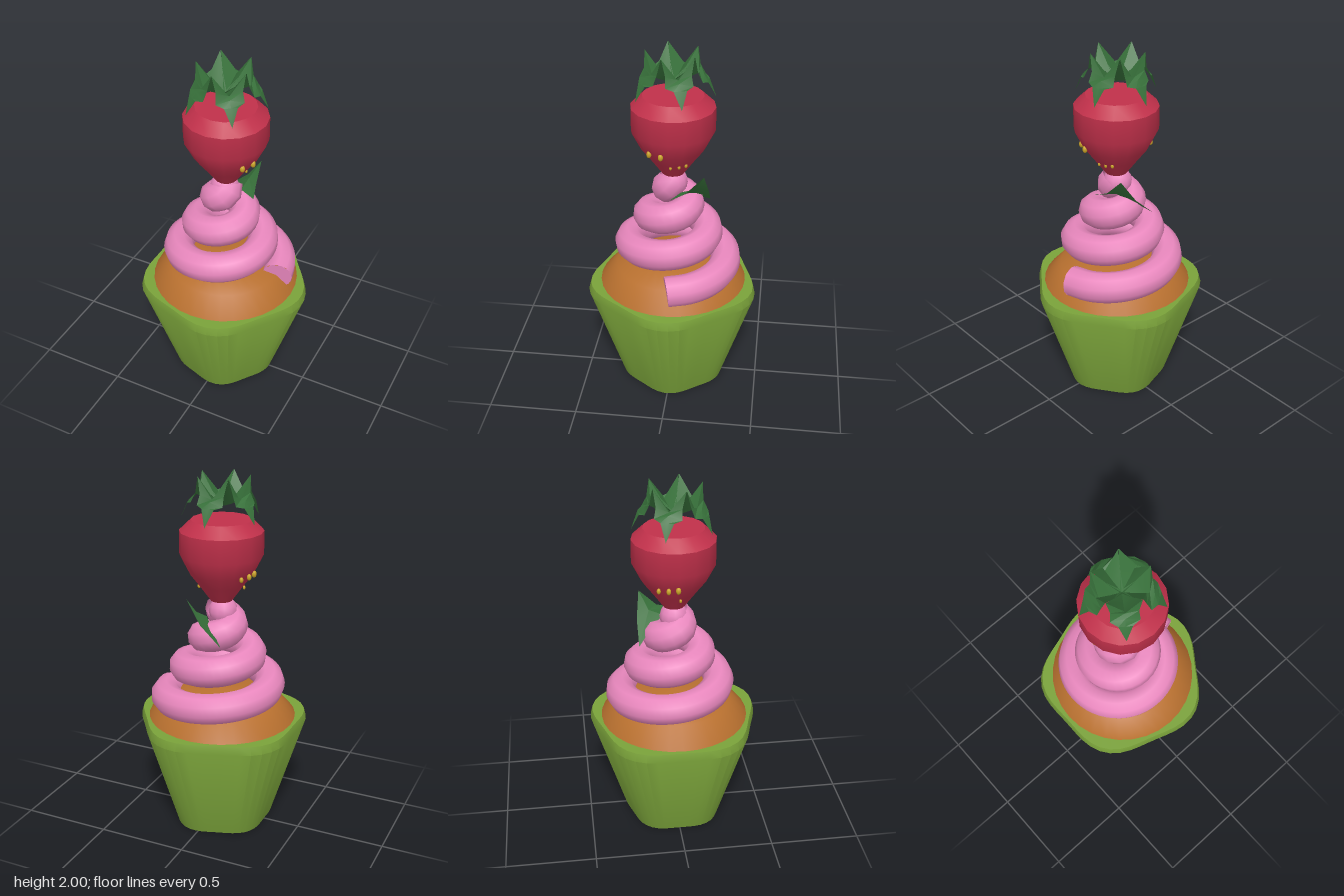
import * as THREE from 'three';
import { toCreasedNormals } from 'three/addons/utils/BufferGeometryUtils.js';

const CX = -0.02; // shared axis of the cake
const material = (color) => new THREE.MeshStandardMaterial({ color, side: THREE.DoubleSide });
const green = material(0x7aa23a), brown = material(0xb8702f), pink = material(0xe887bd);
const red = material(0xc0304a), leafGreen = material(0x37703a), yellow = material(0xc9a227);

function add(parent, name, geometry, mat, x = 0, y = 0, z = 0) {
  const mesh = new THREE.Mesh(geometry, mat);
  mesh.name = name;
  mesh.position.set(x, y, z);
  parent.add(mesh);
  return mesh;
}

const lathe = (points, segments) =>
  new THREE.LatheGeometry(points.map(([r, y]) => new THREE.Vector2(r, y)), segments);

function faces(vertices, index) {
  const g = new THREE.BufferGeometry();
  g.setAttribute('position', new THREE.Float32BufferAttribute(vertices.flat(), 3));
  g.setIndex(index);
  return toCreasedNormals(g, 0.5);
}

// Five-lobed tapered wrapper with a bevelled rim
function wrapperGeometry() {
  const g = lathe([[0, 0], [0.283, 0], [0.467, 0.59], [0.455, 0.635], [0.39, 0.635], [0.38, 0.58]], 50);
  const p = g.attributes.position;
  for (let i = 0; i < p.count; i++) {
    const k = 1 + 0.048 * Math.cos(5 * Math.atan2(p.getZ(i), p.getX(i)));
    p.setX(i, p.getX(i) * k);
    p.setZ(i, p.getZ(i) * k);
  }
  return toCreasedNormals(g, 0.6);
}

// Leaf along +z: each row is [distance, half width, rib height, edge height]
function leafGeometry() {
  const rows = [
    [0.0, 0.01, 0.07, 0.08], [0.06, 0.045, 0.09, 0.14], [0.12, 0.086, 0.12, 0.24],
    [0.135, 0.068, 0.13, 0.15], [0.16, 0.073, 0.12, 0.1], [0.185, 0.035, 0.09, 0.09], [0.225, 0, 0, 0],
  ];
  const vertices = [], index = [];
  rows.forEach(([r, w, rib, edge], i) => {
    vertices.push([-w, edge, r], [0, rib, r], [w, edge, r]);
    if (i === 0) return;
    for (let j = 0; j < 2; j++) {
      const a = (i - 1) * 3 + j, b = a + 3;
      index.push(a, b, a + 1, a + 1, b, b + 1);
    }
  });
  return faces(vertices, index);
}

export function createModel() {
  const model = new THREE.Group();
  model.name = 'cupcake';

  add(model, 'wrapper', wrapperGeometry(), green, CX);
  add(model, 'cake', lathe([[0.415, 0.57], [0.415, 0.635], [0.32, 0.74], [0.2, 0.785], [0, 0.805]], 32), brown, CX);

  // Frosting: three rising, shrinking turns
  const frosting = new THREE.Group();
  frosting.name = 'frosting';
  frosting.position.x = CX;
  model.add(frosting);
  const points = [];
  for (let i = 0; i <= 48; i++) {
    const t = i / 16, a = t * Math.PI * 2, r = 0.325 - 0.105 * t;
    points.push(new THREE.Vector3(r * Math.cos(a), 0.735 + 0.175 * t, -r * Math.sin(a)));
  }
  const spiral = new THREE.CatmullRomCurve3(points);
  add(frosting, 'frostingSwirl', new THREE.TubeGeometry(spiral, 110, 0.086, 10), pink);
  const start = add(frosting, 'frostingEnd', new THREE.CircleGeometry(0.086, 10), pink, ...points[0].toArray());
  start.lookAt(points[0].clone().sub(spiral.getTangent(0)));
  add(frosting, 'frostingTip', new THREE.SphereGeometry(0.08, 12, 8), pink, -0.005, 1.25, 0);

  // Strawberry
  const berry = lathe([[0, 1.3], [0.06, 1.31], [0.125, 1.4], [0.178, 1.47], [0.228, 1.57],
    [0.228, 1.7], [0.165, 1.76], [0, 1.76]], 16);
  add(model, 'strawberry', toCreasedNormals(berry, 0.75), red, CX + 0.005);

  // Seeds in small clusters: [x, y, z, size]
  const seeds = [
    [0.135, 1.48, 0.11, 1], [0.165, 1.48, 0.045, 1],
    [0.105, 1.39, 0, 0.55], [0.098, 1.395, -0.045, 0.6], [0.082, 1.4, -0.08, 0.65],
    [-0.205, 1.48, 0, 1], [-0.198, 1.475, -0.05, 0.9], [-0.175, 1.47, -0.1, 0.8], [-0.14, 1.39, 0.02, 0.55],
  ];
  const seedShape = new THREE.SphereGeometry(0.02, 10, 8).scale(0.7, 1, 0.7);
  for (const [x, y, z, s] of seeds) add(model, 'seed', seedShape, yellow, x, y, z).scale.setScalar(s);

  // Crown of five folded leaves
  const crown = new THREE.Group();
  crown.name = 'leafCrown';
  crown.position.set(CX, 1.76, 0);
  model.add(crown);
  const leaf = leafGeometry();
  for (let i = 0; i < 5; i++) {
    add(crown, 'crownLeaf', leaf, leafGreen).rotation.y = Math.PI + i * Math.PI * 0.4;
  }

  // Single jagged leaf at the back of the frosting, a fan around its middle
  const fan = [
    [0.06, 1.25, -0.13],
    [0.15, 1.22, 0], [0.125, 1.25, -0.08], [0.11, 1.35, -0.18], [0.02, 1.22, -0.2],
    [-0.1, 1.11, -0.2], [-0.01, 1.18, -0.12], [0.05, 1.22, -0.05],
  ];
  const index = [];
  for (let i = 1; i <= 7; i++) index.push(0, i, (i % 7) + 1);
  add(model, 'frostingLeaf', faces(fan, index), leafGreen);

  return model;
}
